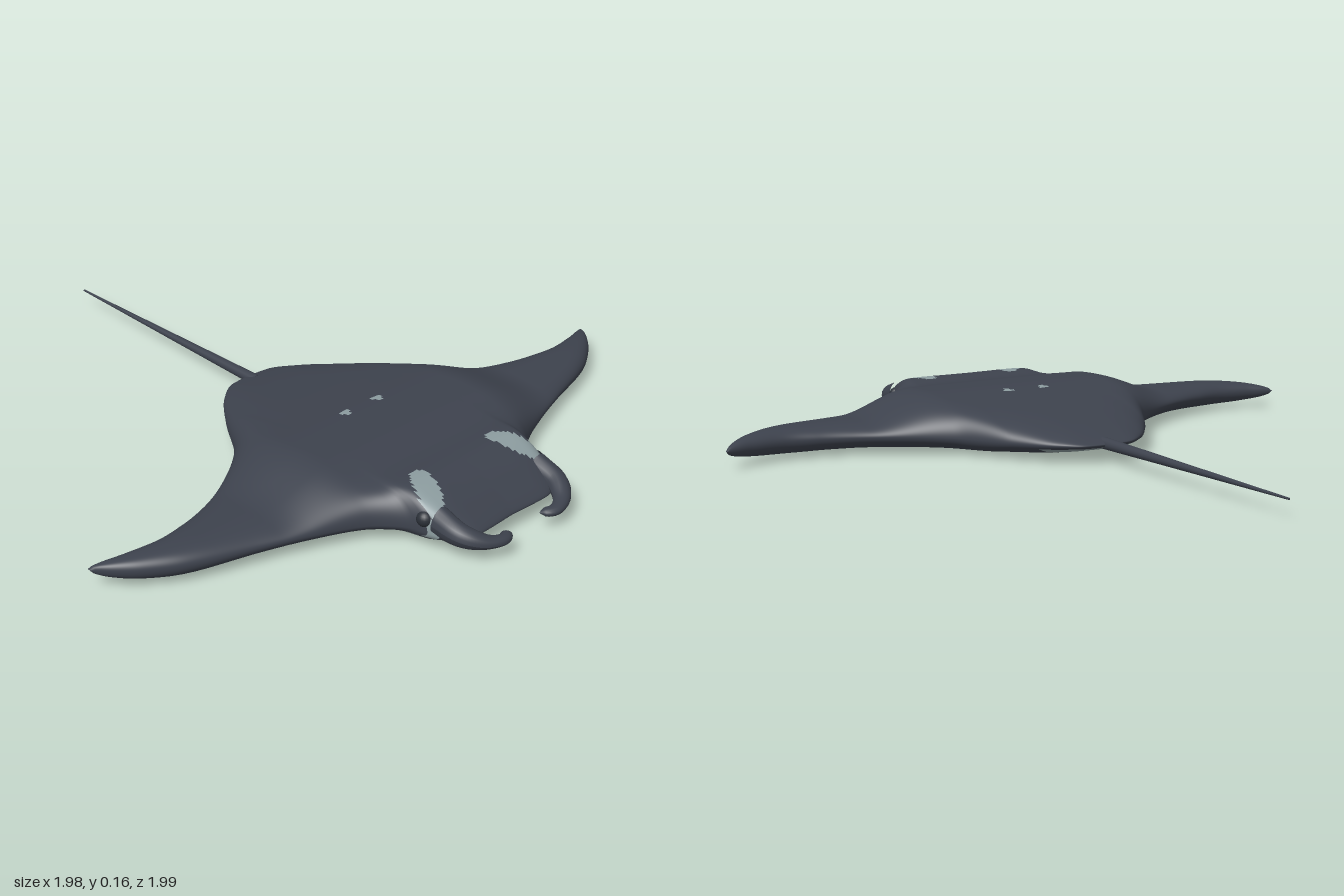
import * as THREE from 'three';

const mat = (name, color) => Object.assign(new THREE.MeshStandardMaterial({ color }), { name });

// Smooth monotone lookup through [position, value] points
function lookup(pts) {
  const n = pts.length;
  const d = pts.slice(1).map((p, i) => (p[1] - pts[i][1]) / (p[0] - pts[i][0]));
  const m = pts.map((_, i) => {
    if (i === 0) return d[0];
    if (i === n - 1) return d[n - 2];
    return d[i - 1] * d[i] <= 0 ? 0 : 2 * d[i - 1] * d[i] / (d[i - 1] + d[i]);
  });
  return (x) => {
    x = Math.min(Math.max(x, pts[0][0]), pts[n - 1][0]);
    let i = 0;
    while (i < n - 2 && x > pts[i + 1][0]) i++;
    const h = pts[i + 1][0] - pts[i][0], t = (x - pts[i][0]) / h, s = 1 - t;
    return pts[i][1] * (1 + 2 * t) * s * s + m[i] * h * t * s * s
      + pts[i + 1][1] * t * t * (3 - 2 * t) - m[i + 1] * h * t * t * s;
  };
}

// Planform edges by distance from the centre line, and height along the back
const leading = lookup([[0, 0.905], [0.13, 0.91], [0.19, 0.895], [0.225, 0.85], [0.245, 0.775], [0.27, 0.735], [0.33, 0.68],
  [0.46, 0.62], [0.6, 0.57], [0.8, 0.505], [0.9, 0.445], [0.96, 0.39], [0.995, 0.345]]);
const trailing = lookup([[0, -0.16], [0.07, -0.153], [0.15, -0.1], [0.24, 0.01], [0.34, 0.16], [0.47, 0.26],
  [0.6, 0.325], [0.7, 0.355], [0.8, 0.37], [0.9, 0.358], [0.96, 0.343], [0.995, 0.335]]);
const back = lookup([[-0.16, 0.073], [-0.1, 0.088], [0, 0.107], [0.2, 0.137], [0.42, 0.16], [0.5, 0.158],
  [0.62, 0.145], [0.72, 0.156], [0.8, 0.142], [0.88, 0.108], [0.92, 0.085]]);
const belly = lookup([[-0.16, 0.025], [0, 0.008], [0.15, 0], [0.5, 0.004], [0.8, 0.012], [0.92, 0.035]]);
const wingHeight = lookup([[0, 1], [0.3, 1], [0.55, 0.38], [0.8, 0.37], [1, 0.37]]);
const bellyHeight = lookup([[0, 1], [0.3, 0.85], [1, 0.8]]);
const paleRear = lookup([[0, 0.18], [0.13, 0.13], [0.3, 0.27], [0.45, 0.33], [0.6, 0.41], [0.8, 0.42], [0.9, 0.43]]);
const MID = 0.055;

const spots = [[0.39, -0.08, 0.025], [0.28, -0.01, 0.026], [0.32, 0.08, 0.027], [0.385, 0.22, 0.027],
  [0.18, 0.08, 0.022], [0.33, -0.02, 0.02], [0.39, 0.1, 0.02]];

// Pale markings: head patches and two flecks above, broad patch and tail-base patch below
function isPale(x, z, below) {
  const a = Math.abs(z);
  if (!below) {
    const dx = x - 0.755, dz = a - 0.18;
    const u = dx * 0.91 + dz * 0.42, v = dz * 0.91 - dx * 0.42;
    return (u / 0.092) ** 2 + (v / 0.036) ** 2 < 1
      || (a > 0.205 && x > 0.805 && x < 0.84)
      || Math.hypot(x - 0.327, a - 0.063) < 0.014;
  }
  if (a > 0.2 && x > 0.81 && x < 0.84) return true;
  if (x < -0.06 + 0.02 * Math.sin(z * 35)) return a < 0.2 && x > trailing(a) + 0.012;
  if (spots.some(([sx, sz, r]) => Math.hypot((x - sx) * 1.2, z - sz) < r)) return false;
  return a < 0.9 && x > paleRear(a) + 0.012 * Math.sin(z * 45) && x < Math.min(0.78, leading(a) - 0.025);
}

// Body and wings: closed cross-sections lofted from wing tip to wing tip
function bodyGeometry() {
  const stations = 220, ring = 220, pos = [], groups = [[], []];
  for (let i = 0; i <= stations; i++) {
    const z = -0.995 + 1.99 * i / stations, a = Math.abs(z);
    const front = leading(a), rear = trailing(a);
    const tip = a > 0.72 ? Math.sqrt(Math.max(0, 1 - ((a - 0.72) / 0.275) ** 2)) : 1;
    const power = THREE.MathUtils.lerp(5, 2.6, THREE.MathUtils.smoothstep(a, 0.2, 0.6));
    for (let j = 0; j < ring; j++) {
      const ang = 2 * Math.PI * j / ring, u = Math.cos(ang);
      const x = (front + rear) / 2 + (front - rear) / 2 * u;
      const round = Math.sqrt(Math.max(0, 1 - Math.abs(u) ** power)) * tip;
      const rise = j <= ring / 2 ? (back(x) - MID) * wingHeight(a) : (belly(x) - MID) * bellyHeight(a);
      pos.push(x, MID + rise * round, z);
    }
  }
  for (let i = 0; i < stations; i++) {
    for (let j = 0; j < ring; j++) {
      const k = (j + 1) % ring;
      const a = i * ring + j, b = i * ring + k, c = a + ring, d = b + ring;
      const x = (pos[a * 3] + pos[d * 3]) / 2, z = (pos[a * 3 + 2] + pos[d * 3 + 2]) / 2;
      groups[isPale(x, z, j >= ring / 2) ? 1 : 0].push(a, b, c, b, d, c);
    }
  }
  const g = new THREE.BufferGeometry();
  g.setAttribute('position', new THREE.Float32BufferAttribute(pos, 3));
  g.setIndex(groups.flat());
  g.addGroup(0, groups[0].length, 0);
  g.addGroup(groups[0].length, groups[1].length, 1);
  g.computeVertexNormals();
  return g;
}

// Tube whose radius follows a rule, flattened or deepened vertically
function taperedTube(points, radius, deep) {
  const curve = new THREE.CatmullRomCurve3(points.map((p) => new THREE.Vector3(...p)));
  const n = 32, sides = 16, g = new THREE.TubeGeometry(curve, n, 1, sides), p = g.attributes.position;
  for (let i = 0; i <= n; i++) {
    const c = curve.getPointAt(i / n), r = radius(i / n);
    for (let j = 0; j <= sides; j++) {
      const k = i * (sides + 1) + j;
      p.setXYZ(k, c.x + (p.getX(k) - c.x) * r, c.y + (p.getY(k) - c.y) * r * deep(i / n), c.z + (p.getZ(k) - c.z) * r);
    }
  }
  g.computeVertexNormals();
  return g;
}

export function createModel() {
  const slate = mat('slate skin', 0x3d424d);
  const pale = mat('pale marking', 0x8c9c9f);
  const dark = mat('dark eye', 0x2b3038);
  const model = new THREE.Group();
  model.name = 'mantaRay';
  const add = (name, geometry, material) => {
    const mesh = new THREE.Mesh(geometry, material);
    mesh.name = name;
    model.add(mesh);
    return mesh;
  };

  add('bodyAndWings', bodyGeometry(), [slate, pale]);

  // Whip tail
  const tail = add('tail', new THREE.CylinderGeometry(0.003, 0.018, 0.87, 16), slate);
  tail.rotation.z = Math.PI / 2;
  tail.position.set(-0.557, 0.054, 0);

  // Curled head fins and eyes, mirrored
  const finRadius = lookup([[0, 0.035], [0.4, 0.03], [0.7, 0.021], [0.92, 0.017], [1, 0.001]]);
  const finDepth = lookup([[0, 1.3], [0.4, 0.95], [0.7, 0.75], [1, 0.7]]);
  for (const s of [1, -1]) {
    const side = s > 0 ? 'right' : 'left';
    const path = [[0.82, 0.082, 0.2], [0.895, 0.07, 0.195], [0.947, 0.057, 0.155], [0.965, 0.052, 0.105], [0.945, 0.05, 0.065]];
    add(side + 'HeadFin', taperedTube(path.map(([x, y, z]) => [x, y, z * s]), finRadius, finDepth), slate);
    const eye = add(side + 'Eye', new THREE.SphereGeometry(0.024, 20, 14), dark);
    eye.position.set(0.793, 0.088, 0.225 * s);
  }
  return model;
}
